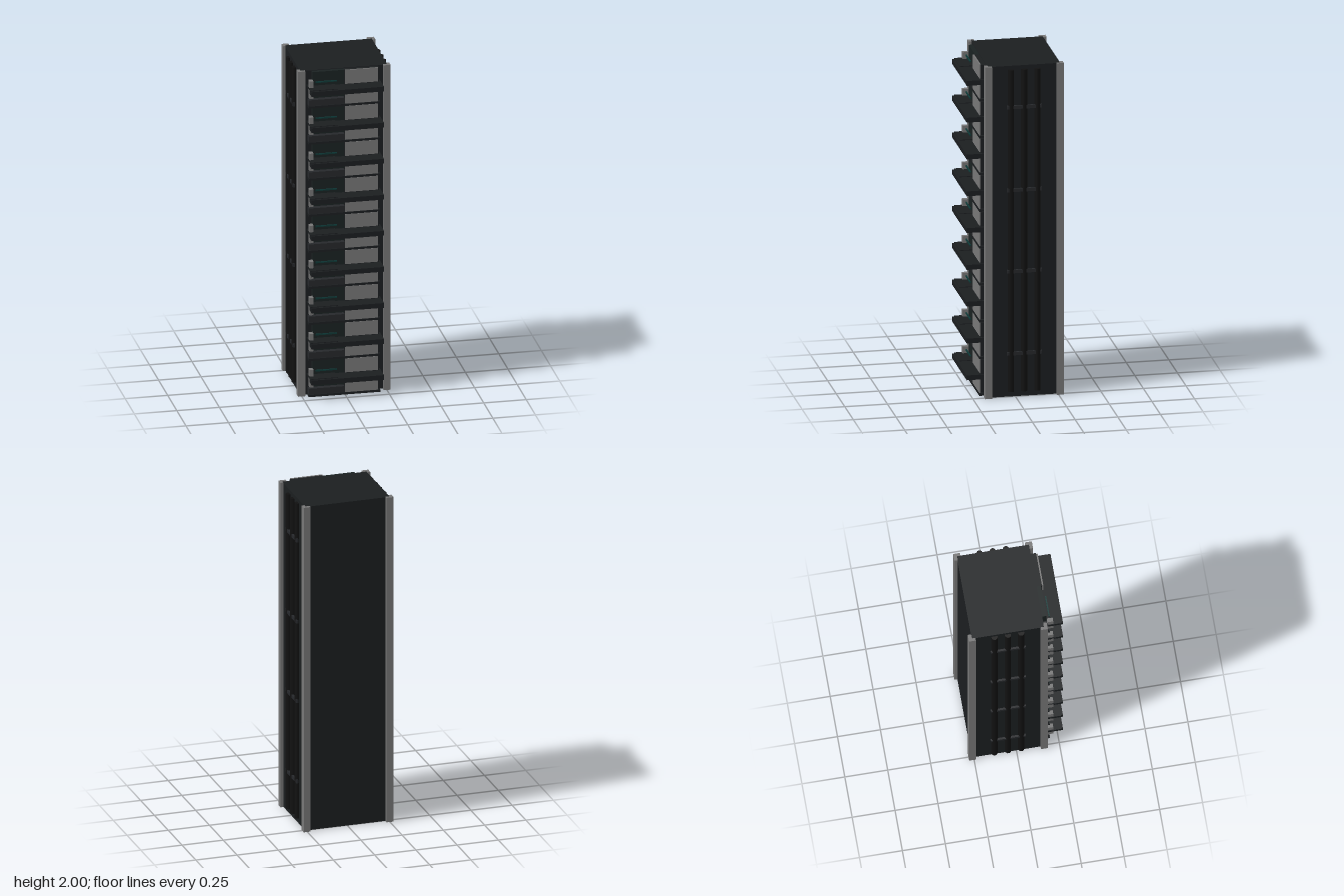
import * as THREE from 'three';

const mat = (color) => new THREE.MeshStandardMaterial({ color });

export function createModel() {
  const root = new THREE.Group();
  root.name = 'equipmentCabinet';
  const black = mat(0x1b1e20), cableBlack = mat(0x111111), charcoal = mat(0x26282b);
  const grey = mat(0x777777), teal = mat(0x0f3a38), slate = mat(0x1a2222);

  // Box given by its minimum and maximum on each axis
  const box = (name, parent, m, x0, x1, y0, y1, z0, z1) => {
    const mesh = new THREE.Mesh(new THREE.BoxGeometry(x1 - x0, y1 - y0, z1 - z0), m);
    mesh.position.set((x0 + x1) / 2, (y0 + y1) / 2, (z0 + z1) / 2);
    mesh.name = name;
    parent.add(mesh);
    return mesh;
  };

  box('cabinetBody', root, black, -0.256, 0.256, 0.003, 1.997, -0.262, 0.161);

  // L-shaped corner posts wrapped round the body
  const addPost = (sx, sz, zOuter) => {
    const pts = [[0, 0], [0.042, 0], [0.042, 0.02], [0.017, 0.02], [0.017, 0.04], [0, 0.04]];
    const shape = new THREE.Shape(pts.map(([a, b]) =>
      new THREE.Vector2(sx * (0.272 - a), -sz * (Math.abs(zOuter) - b))));
    const geo = new THREE.ExtrudeGeometry(shape, { depth: 2, bevelEnabled: false });
    geo.rotateX(-Math.PI / 2);
    const post = new THREE.Mesh(geo, grey);
    post.name = 'cornerPost';
    root.add(post);
  };
  for (const sx of [-1, 1]) {
    addPost(sx, 1, 0.18);
    addPost(sx, -1, -0.28);
  }

  // Vertical cables and their clamps on both sides
  for (const sx of [-1, 1]) {
    const side = new THREE.Group();
    side.name = sx > 0 ? 'leftCables' : 'rightCables';
    root.add(side);
    for (const z of [-0.128, -0.05, 0.027]) {
      const cable = new THREE.Mesh(new THREE.CylinderGeometry(0.018, 0.018, 1.94, 20), cableBlack);
      cable.position.set(sx * 0.26, 1.005, z);
      cable.name = 'cable';
      side.add(cable);
    }
    for (const y of [0.265, 0.76, 1.25, 1.75]) {
      const clamp = box('cableClamp', side, charcoal, -0.006, 0.006, -0.01, 0.01, -0.152, 0.052);
      clamp.position.x = sx * 0.268;
      clamp.position.y = y;
    }
  }

  // Nine stacked front modules
  for (let i = 0; i < 9; i++) {
    const unit = new THREE.Group();
    unit.name = 'frontModule';
    unit.position.y = 0.118 + i * 0.222;
    root.add(unit);

    box('shelf', unit, black, -0.214, 0.212, -0.016, 0.013, 0.16, 0.278);
    box('tray', unit, black, -0.218, -0.057, 0.010, 0.017, 0.16, 0.265);
    box('latch', unit, grey, -0.214, -0.19, -0.05, 0.057, 0.188, 0.222);
    box('indicatorStrip', unit, teal, -0.175, -0.05, 0.04, 0.048, 0.201, 0.208);
    box('circuitPanel', unit, slate, -0.19, -0.003, -0.06, 0.1, 0.16, 0.186);
    // Upper and lower pale cover plates
    box('upperCover', unit, grey, 0, 0.194, 0.018, 0.103, 0.192, 0.2);
    box('lowerCover', unit, grey, 0, 0.194, -0.104, -0.022, 0.192, 0.2);
    box('coverBacking', unit, black, -0.003, 0.2, -0.1, 0.1, 0.16, 0.192);
    // Lower rail and the plain strip above it
    box('lowerRail', unit, black, -0.214, 0.206, -0.117, -0.104, 0.16, 0.203);
    box('lowerStrip', unit, charcoal, -0.212, 0, -0.104, -0.068, 0.16, 0.196);
  }
  return root;
}
